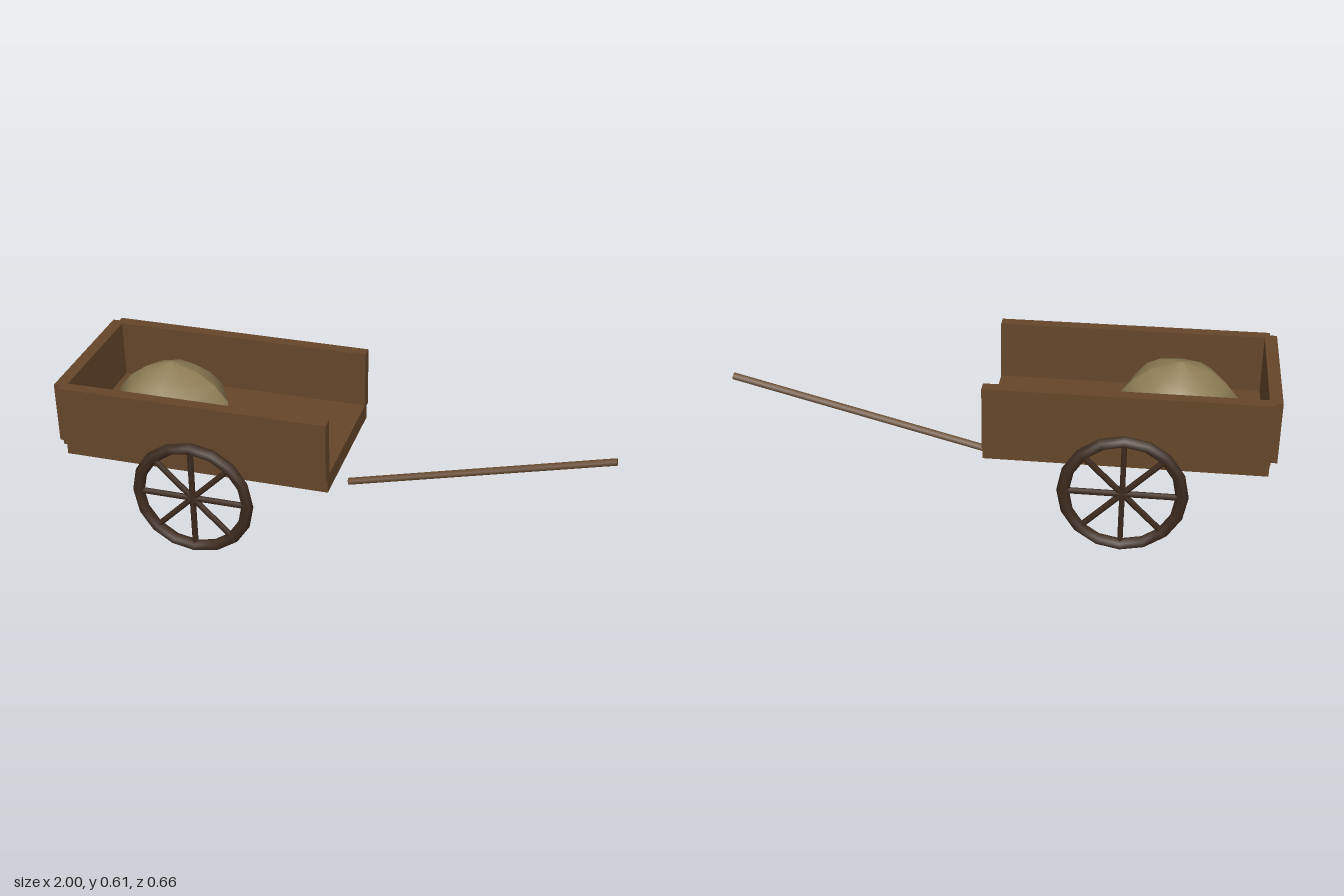
import * as THREE from 'three';

const paint = (name, color) => {
  const m = new THREE.MeshStandardMaterial({ color });
  m.name = name;
  return m;
};

export function createModel() {
  const cart = new THREE.Group();
  cart.name = 'handCart';
  const wood = paint('wood', 0x654629);
  const darkWood = paint('dark wood', 0x3d2b1f);
  const burlap = paint('burlap', 0x8f7d56);

  const add = (parent, name, geometry, material, x, y, z) => {
    const mesh = new THREE.Mesh(geometry, material);
    mesh.name = name;
    mesh.position.set(x, y, z);
    parent.add(mesh);
    return mesh;
  };

  // Open-fronted cart bed
  add(cart, 'floor', new THREE.BoxGeometry(0.995, 0.067, 0.54), wood, -0.4775, 0.3485, 0);
  add(cart, 'endBoard', new THREE.BoxGeometry(0.045, 0.23, 0.54), wood, -0.9775, 0.485, 0);
  for (const side of [1, -1]) {
    add(cart, side > 0 ? 'frontSideBoard' : 'backSideBoard',
      new THREE.BoxGeometry(0.995, 0.23, 0.045), wood, -0.4775, 0.485, side * 0.2705);
  }

  // Wheels: hexagonal rims with four spokes crossing the centre
  const rim = new THREE.TorusGeometry(0.2085, 0.0225, 6, 16);
  const spoke = new THREE.CylinderGeometry(0.011, 0.011, 0.416, 6);
  for (const side of [1, -1]) {
    const wheel = new THREE.Group();
    wheel.name = side > 0 ? 'frontWheel' : 'backWheel';
    wheel.position.set(-0.477, 0.231, side * 0.31);
    add(wheel, 'rim', rim, darkWood, 0, 0, 0);
    for (let i = 0; i < 4; i++) {
      add(wheel, 'spoke', spoke, darkWood, 0, 0, 0).rotation.z = (i * Math.PI) / 4;
    }
    cart.add(wheel);
  }

  // Sloping pull handle
  const pole = new THREE.CylinderGeometry(0.015, 0.015, 1, 6, 1, false, Math.PI / 6);
  add(cart, 'handle', pole, wood, 0.509, 0.3185, 0).rotation.z = 0.25 - Math.PI / 2;

  // Lumpy sack: a sphere grid reshaped by ring height and reach per direction
  const rings = [[0.605, 0], [0.57, 0.48], [0.525, 0.77], [0.465, 1], [0.4, 0.97], [0.36, 0.8], [0.34, 0]];
  const reach = [0.215, 0.2, 0.195, 0.19, 0.215, 0.2, 0.18, 0.225];
  const sack = new THREE.SphereGeometry(1, 8, 6, Math.PI);
  const p = sack.attributes.position;
  for (let i = 0; i < p.count; i++) {
    const [y, spread] = rings[Math.floor(i / 9)];
    const column = (i % 9) % 8;
    const angle = (column * Math.PI) / 4;
    const r = reach[column] * spread;
    const z = -Math.sin(angle) * r;
    p.setXYZ(i, Math.cos(angle) * r, y + 0.06 * z, z);
  }
  sack.computeVertexNormals();
  add(cart, 'sack', sack, burlap, -0.655, 0, 0);

  return cart;
}
